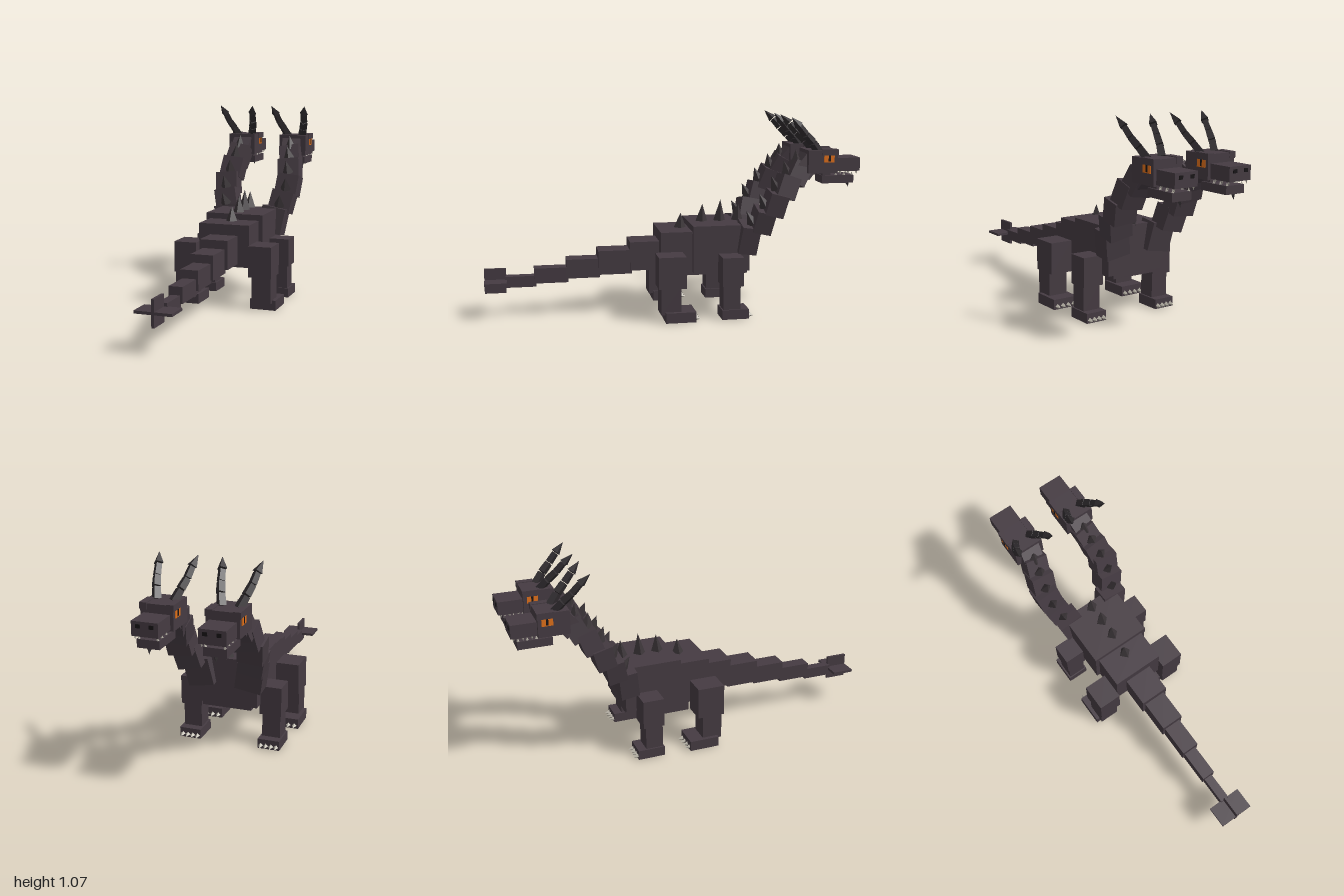
import * as THREE from 'three';

const mat = (name, color) => {
  const m = new THREE.MeshStandardMaterial({ color });
  m.name = name;
  return m;
};

export function createModel() {
  const hide = mat('hide', 0x453b42);
  const spikeMat = mat('spike', 0x3b3538);
  const hornMat = mat('horn', 0x302c2f);
  const ivory = mat('ivory', 0xb9b4a8);
  const orange = mat('eye orange', 0xe0701a);
  const black = mat('pupil black', 0x161315);

  const model = new THREE.Group();
  model.name = 'twoHeadedBeast';

  // Box given by its minimum and maximum along each axis
  const box = (parent, name, x, y, z, m = hide) => {
    const mesh = new THREE.Mesh(new THREE.BoxGeometry(x[1] - x[0], y[1] - y[0], z[1] - z[0]), m);
    mesh.position.set((x[0] + x[1]) / 2, (y[0] + y[1]) / 2, (z[0] + z[1]) / 2);
    mesh.name = name;
    parent.add(mesh);
    return mesh;
  };
  const wide = (w) => [-w, w];
  const span = (s, a, b) => (s > 0 ? [a, b] : [-b, -a]);

  // Four-sided cone or post from a base point along a direction
  const UP = new THREE.Vector3(0, 1, 0);
  const spike = (parent, name, base, dir, len, r, m = spikeMat, topR = 0) => {
    const geo = new THREE.CylinderGeometry(topR, r, len, 4).toNonIndexed();
    geo.computeVertexNormals();
    geo.translate(0, len / 2, 0);
    const mesh = new THREE.Mesh(geo, m);
    mesh.position.set(...base);
    mesh.quaternion.setFromUnitVectors(UP, new THREE.Vector3(...dir).normalize());
    mesh.name = name;
    parent.add(mesh);
  };

  // Body
  box(model, 'hindBody', wide(0.143), [0.225, 0.455], [-0.11, 0.067]);
  box(model, 'chest', wide(0.165), [0.235, 0.487], [-0.413, -0.104]);
  box(model, 'belly', wide(0.132), [0.215, 0.24], [-0.408, 0.03]);

  // Back spikes: z, base height, length
  [[-0.06, 0.45, 0.085], [-0.18, 0.48, 0.1], [-0.28, 0.48, 0.122], [-0.38, 0.48, 0.1]].forEach(
    ([z, y, len]) => spike(model, 'backSpike', [0, y, z], [0, 1, -0.05], len, 0.035));

  // Tail: half width, bottom, top, start z, end z
  [
    [0.078, 0.24, 0.396, 0.05, 0.225],
    [0.062, 0.22, 0.35, 0.215, 0.395],
    [0.048, 0.203, 0.306, 0.385, 0.565],
    [0.036, 0.18, 0.262, 0.555, 0.737],
    [0.024, 0.16, 0.22, 0.727, 0.89],
  ].forEach(([w, y0, y1, z0, z1], i) => box(model, `tail${i + 1}`, wide(w), [y0, y1], [z0, z1]));
  box(model, 'tailFinVertical', wide(0.007), [0.128, 0.263], [0.885, 1]);
  box(model, 'tailFinFlat', wide(0.095), [0.189, 0.203], [0.882, 1]);

  // Legs with claws
  for (const s of [1, -1]) {
    const claws = (x0, x1, z) => {
      for (let i = 0; i < 4; i++) {
        const x = s * (x0 + ((i + 0.5) / 4) * (x1 - x0));
        spike(model, 'claw', [x, 0.017, z], [0, -0.1, -1], 0.03, 0.014, ivory);
      }
    };
    box(model, 'hindThigh', span(s, 0.15, 0.277), [0.18, 0.35], [-0.047, 0.1]);
    box(model, 'hindShin', span(s, 0.165, 0.273), [0.04, 0.19], [-0.02, 0.088]);
    box(model, 'hindFoot', span(s, 0.15, 0.293), [0, 0.055], [-0.097, 0.065]);
    claws(0.155, 0.288, -0.095);
    box(model, 'frontThigh', span(s, 0.16, 0.277), [0.18, 0.335], [-0.355, -0.24]);
    box(model, 'frontShin', span(s, 0.17, 0.268), [0.04, 0.19], [-0.34, -0.247]);
    box(model, 'frontFoot', span(s, 0.16, 0.277), [0, 0.052], [-0.385, -0.24]);
    claws(0.163, 0.274, -0.383);
  }

  // Necks: x, y, z, forward tilt, outward roll, width
  const neck = [
    [0.137, 0.415, -0.405, 8, 10, 0.14],
    [0.17, 0.515, -0.478, 12, 12, 0.13],
    [0.188, 0.605, -0.54, 15, 6, 0.13],
    [0.178, 0.69, -0.602, 20, -7, 0.128],
    [0.165, 0.76, -0.665, 28, -10, 0.12],
    [0.16, 0.805, -0.715, 40, -6, 0.11],
  ];
  const rad = THREE.MathUtils.degToRad;
  for (const s of [1, -1]) {
    neck.forEach(([x, y, z, tilt, roll, w], i) => {
      const seg = new THREE.Group();
      seg.name = `neck${i + 1}`;
      seg.position.set(s * x, y, z);
      seg.rotation.set(-rad(tilt), 0, -s * rad(roll));
      box(seg, 'neckBlock', wide(w / 2), wide(i ? 0.06 : 0.075), wide(0.05));
      spike(seg, 'neckSpike', [0, -0.03, 0.045], [0, 0.75, 0.65], 0.078, 0.034);
      model.add(seg);
    });

    // Head
    const head = new THREE.Group();
    head.name = s > 0 ? 'leftHead' : 'rightHead';
    head.position.x = s * 0.161;
    model.add(head);
    box(head, 'skull', wide(0.082), [0.768, 0.89], [-0.865, -0.705]);
    box(head, 'snout', wide(0.066), [0.775, 0.846], [-0.995, -0.85]);
    box(head, 'lowerJaw', wide(0.056), [0.71, 0.752], [-0.965, -0.79]);
    box(head, 'jawHinge', wide(0.045), [0.74, 0.78], [-0.84, -0.795]);
    spike(head, 'chinSpike', [0, 0.715, -0.95], [0, -1, -0.2], 0.035, 0.015);

    // Paired head details and horns
    for (const k of [1, -1]) {
      box(head, 'brow', span(k, 0.05, 0.086), [0.862, 0.894], [-0.868, -0.78]);
      box(head, 'eye', span(k, 0.08, 0.085), [0.825, 0.862], [-0.846, -0.789], orange);
      box(head, 'pupil', span(k, 0.083, 0.087), [0.83, 0.862], [-0.824, -0.813], black);
      box(head, 'nostril', span(k, 0.022, 0.044), [0.815, 0.833], [-0.999, -0.993], black);
      for (const z of [-0.98, -0.935, -0.89]) {
        spike(head, 'upperTooth', [k * 0.055, 0.777, z], [0, -1, 0], 0.022, 0.008, ivory);
        spike(head, 'lowerTooth', [k * 0.046, 0.75, z + 0.022], [0, 1, 0], 0.02, 0.008, ivory);
      }
      const path = [
        [0.042, 0.88, -0.77], [0.062, 0.932, -0.728], [0.077, 0.975, -0.685],
        [0.086, 1.022, -0.645], [0.101, 1.068, -0.6],
      ].map(([x, y, z]) => new THREE.Vector3(k * x, y, z));
      for (let i = 0; i < 4; i++) {
        const d = path[i + 1].clone().sub(path[i]);
        const r = [0.025, 0.024, 0.021, 0.025][i];
        spike(head, i < 3 ? 'hornSegment' : 'hornTip', path[i].toArray(), d.toArray(),
          d.length() * (i < 3 ? 0.92 : 1), r, hornMat, i < 3 ? r * 0.9 : 0);
      }
    }
  }
  return model;
}
